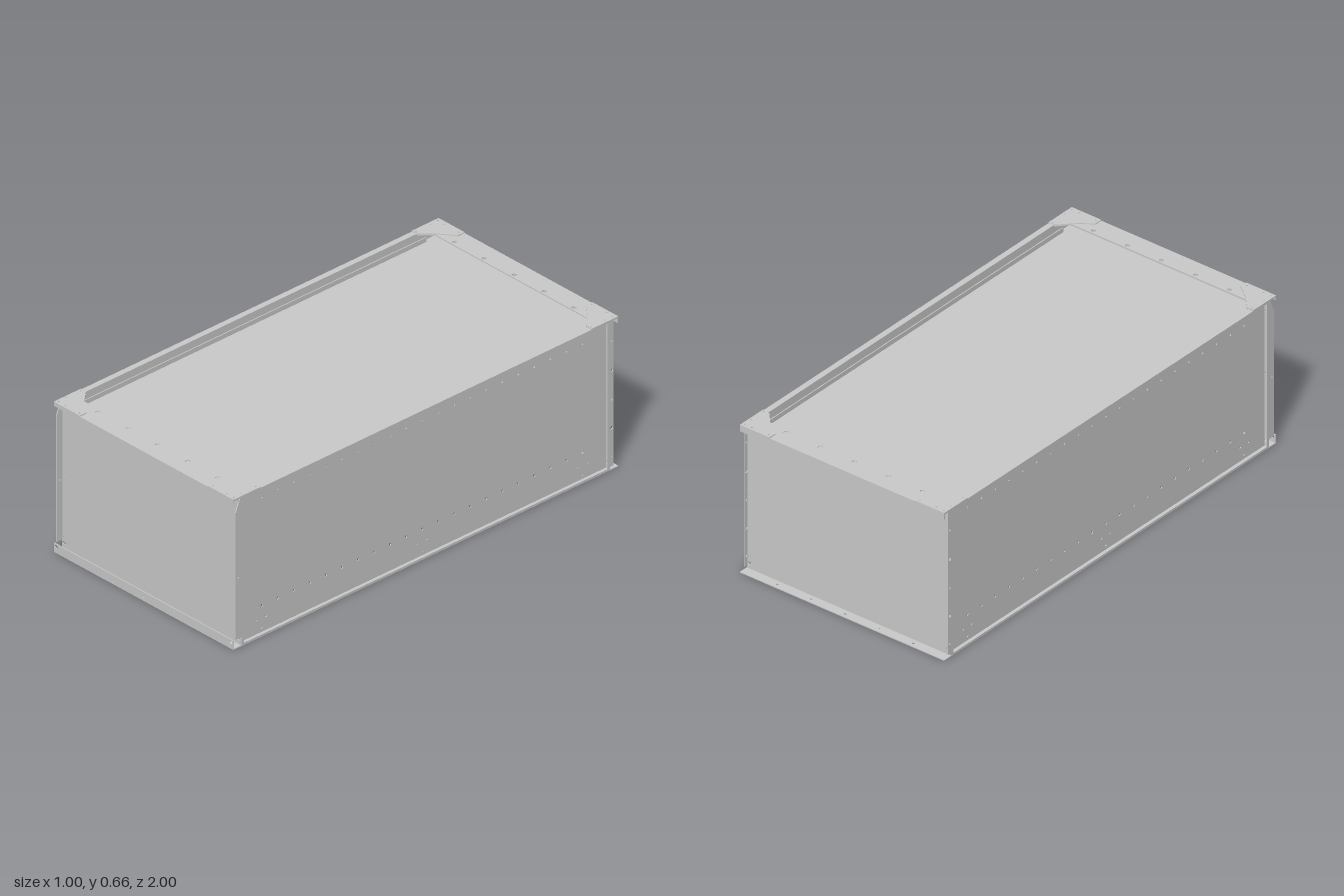
import * as THREE from 'three';

const T = 0.004; // sheet thickness
const H = 0.664; // overall height
const material = new THREE.MeshStandardMaterial({ color: 0xcccccc, flatShading: true, side: THREE.DoubleSide });

const V = (x, y, z) => new THREE.Vector3(x, y, z);
// Sheet planes: local u, v and thickness direction
const PLANES = {
  front: [V(1, 0, 0), V(0, 1, 0), V(0, 0, 1)],
  side: [V(0, 0, -1), V(0, 1, 0), V(1, 0, 0)],
  flat: [V(1, 0, 0), V(0, 0, -1), V(0, 1, 0)],
};

const rect = (u0, u1, v0, v1) => [[u0, v0], [u1, v0], [u1, v1], [u0, v1]];

// Sheet of metal with round holes [u, v, radius] and polygonal cutouts
function sheet(group, name, plane, offset, outline, holes = [], cutouts = []) {
  const shape = new THREE.Shape(outline.map(([u, v]) => new THREE.Vector2(u, v)));
  for (const [u, v, r] of holes) {
    const hole = new THREE.Path();
    hole.absarc(u, v, r, 0, Math.PI * 2, true);
    shape.holes.push(hole);
  }
  for (const c of cutouts) shape.holes.push(new THREE.Path(c.map(([u, v]) => new THREE.Vector2(u, v))));
  const geometry = new THREE.ExtrudeGeometry(shape, { depth: T, bevelEnabled: false, curveSegments: 4 });
  geometry.translate(0, 0, offset);
  geometry.applyMatrix4(new THREE.Matrix4().makeBasis(...PLANES[plane]));
  const mesh = new THREE.Mesh(geometry, material);
  mesh.name = name;
  group.add(mesh);
}

export function createModel() {
  const model = new THREE.Group();
  model.name = 'sheetMetalEnclosure';

  // Recessed top panel
  sheet(model, 'recessedPanel', 'flat', 0.612, rect(-0.475, 0.475, -0.955, 0.955));

  // Long side walls with two rows of fixing holes
  const sideHoles = [];
  for (let i = -10; i <= 10; i++) {
    sideHoles.push([i / 12, 0.6, 0.004], [i / 12, 0.12, 0.006]);
  }
  for (const z of [-0.86, -0.81, -0.025, 0.025, 0.81, 0.86]) sideHoles.push([z, 0.065, 0.004]);
  for (const z of [-0.833, 0, 0.833]) sideHoles.push([z, 0.022, 0.004]);

  for (const s of [-1, 1]) {
    const label = s > 0 ? 'left' : 'right';
    sheet(model, label + 'Wall', 'side', s * 0.477 - T / 2, rect(-0.955, 0.955, 0, H - T), sideHoles);

    // Outward flanges and narrow lips framing the recessed wall
    const [a, b] = [s * 0.475, s * 0.5].sort((p, q) => p - q);
    sheet(model, label + 'TopFlange', 'flat', H - 2 * T, rect(a, b, -0.96, 0.96));
    sheet(model, label + 'BottomFlange', 'flat', 0, rect(a, b, -0.96, 0.96));
    for (const [z0, z1, y0, y1] of [[-0.955, 0.955, 0, 0.01], [-0.955, 0.955, 0.652, 0.66],
      [-0.955, -0.945, 0, 0.66], [0.945, 0.955, 0, 0.66]]) {
      sheet(model, label + 'FlangeLip', 'side', s * 0.498 - T / 2, rect(z0, z1, y0, y1));
    }

    // Upturned edge of the top panel
    sheet(model, label + 'PanelLip', 'side', s * 0.462 - T / 2, rect(-0.9, 0.9, 0.614, 0.636));

    // Corner post flanges standing proud of the end walls
    const x = s * 0.498 - T / 2;
    sheet(model, label + 'FrontPost', 'side', x,
      [[-0.95, 0.04], [-0.988, 0.04], [-0.988, 0.6], [-0.965, 0.656], [-0.95, 0.656]],
      [[-0.974, 0.31, 0.004]]);
    sheet(model, label + 'BackPost', 'side', x, rect(0.95, 0.976, 0.015, 0.656),
      [[0.06, 0.004], [0.185, 0.007], [0.31, 0.004], [0.44, 0.007], [0.57, 0.004]].map(([y, r]) => [0.966, y, r]));
  }

  // End walls, their rims and the top frame
  const xs = [-2, -1, 0, 1, 2].map(i => i / 6);
  for (const s of [-1, 1]) {
    const label = s > 0 ? 'front' : 'back';
    const wallHoles = [];
    for (const x of [-0.486, 0.486]) {
      for (const y of [0.055, 0.33, 0.61]) wallHoles.push([x, y, 0.004]);
      wallHoles.push([x, 0.028, 0.008]);
    }
    sheet(model, label + 'Wall', 'front', s * 0.957 - T / 2, rect(-0.498, 0.498, 0, H - T), wallHoles);

    // Skirt under the top frame
    sheet(model, label + 'TopSkirt', 'front', s * 0.961 - T / 2,
      [[-0.486, 0.626], [0.486, 0.626], [0.486, 0.638], [0.493, 0.648], [0.493, 0.66],
        [-0.493, 0.66], [-0.493, 0.648], [-0.486, 0.638]],
      xs.map(x => [x, 0.63, 0.003]));

    // Top frame end with chamfered inner corners, holes and a slot
    const frame = [[-0.5, 1], [-0.5, 0.85], [-0.465, 0.865], [-0.425, 0.91],
      [0.425, 0.91], [0.465, 0.865], [0.5, 0.85], [0.5, 1]].map(([x, z]) => [x, -s * z]);
    const slotZ = [-s * 0.957, -s * 0.963].sort((p, q) => p - q);
    sheet(model, label + 'TopFrame', 'flat', H - 2 * T, frame,
      xs.map(x => [x, -s * 0.926, 0.01]), [rect(-0.37, 0.37, ...slotZ)]);
    sheet(model, label + 'TopLip', 'front', s * 0.998 - T / 2,
      rect(-0.5, 0.5, s > 0 ? 0.645 : 0.635, H - T));

    // Corner plates with fixing holes
    for (const m of [-1, 1]) {
      const plate = [[0.355, 1], [0.5, 1], [0.5, 0.86], [0.465, 0.866], [0.425, 0.911], [0.39, 0.94], [0.355, 0.965]];
      sheet(model, label + 'CornerPlate', 'flat', H - T, plate.map(([x, z]) => [m * x, -s * z]),
        [[0.37, 0.985], [0.45, 0.985], [0.487, 0.985], [0.487, 0.945], [0.487, 0.87]]
          .map(([x, z]) => [m * x, -s * z, 0.004]));
    }

    // Bottom ledge
    const ledgeZ = [-s * 0.953, -s].sort((p, q) => p - q);
    sheet(model, label + 'BottomLedge', 'flat', 0, rect(-0.5, 0.5, ...ledgeZ),
      xs.map(x => [x, -s * 0.98, 0.005]));
  }

  // Upturned lip on the front ledge
  const lipHoles = [[-0.486, 0.028, 0.008], [0.486, 0.028, 0.008]];
  for (const x of xs) lipHoles.push([x, 0.013, 0.003], [x, 0.021, 0.003]);
  sheet(model, 'frontBottomLip', 'front', 0.996, rect(-0.5, 0.5, 0, 0.04), lipHoles);

  return model;
}
